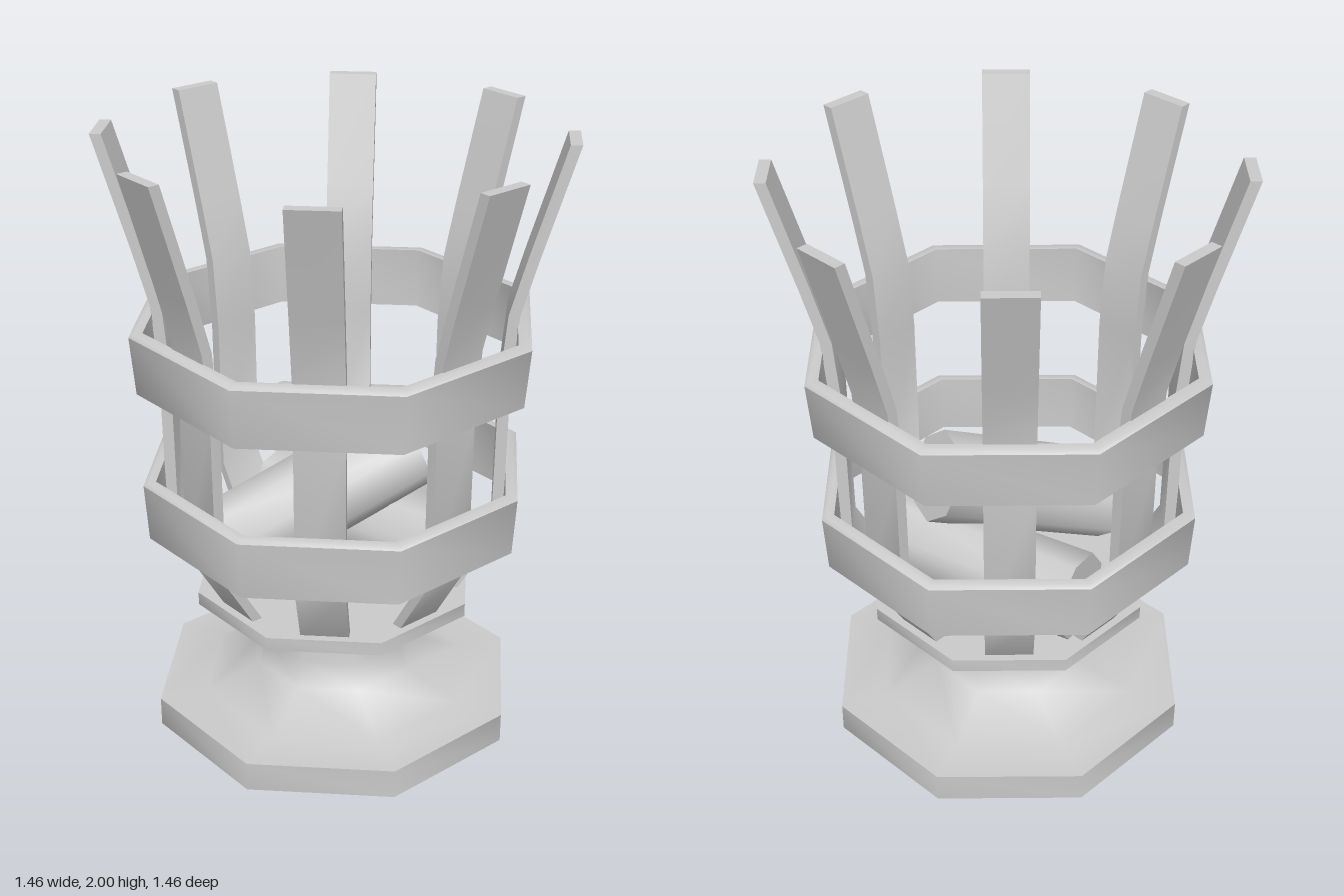
import * as THREE from 'three';
import { toCreasedNormals } from 'three/addons/utils/BufferGeometryUtils.js';

const material = new THREE.MeshStandardMaterial({ color: 0xcccccc, side: THREE.DoubleSide });
const CREASE = 0.9; // keeps the 45 degree octagon corners smooth, right angles sharp

function addMesh(parent, geometry, name) {
  const mesh = new THREE.Mesh(toCreasedNormals(geometry, CREASE), material);
  mesh.name = name;
  parent.add(mesh);
  return mesh;
}

// Eight-sided turned part; profile radii are measured to the flats
function octagonal(profile) {
  const k = 1 / Math.cos(Math.PI / 8);
  const points = profile.map(([r, y]) => new THREE.Vector2(r * k, y));
  return new THREE.LatheGeometry(points, 8, Math.PI / 8);
}

// Straight log between two end points
function addLog(parent, from, to, radius, name) {
  const a = new THREE.Vector3(...from), b = new THREE.Vector3(...to);
  const axis = b.clone().sub(a);
  const log = addMesh(parent, new THREE.CylinderGeometry(radius, radius, axis.length(), 8), name);
  log.position.copy(a).add(b).multiplyScalar(0.5);
  log.quaternion.setFromUnitVectors(new THREE.Vector3(0, 1, 0), axis.normalize());
}

export function createModel() {
  const group = new THREE.Group();
  group.name = 'brazier';

  // Hollow foot with a flared stem
  addMesh(group, octagonal([
    [0.57, 0], [0.57, 0.1], [0.42, 0.1], [0.25, 0.18], [0.212, 0.26], [0.212, 0.41],
  ]), 'pedestal');

  // Fire plate on top of the stem
  addMesh(group, octagonal([
    [0, 0.41], [0.212, 0.41], [0.437, 0.445], [0.437, 0.49], [0, 0.49],
  ]), 'firePlate');

  // Two hoops: bottom, top, lower radius, upper radius, inner radius
  for (const [y0, y1, r0, r1, inner, name] of [
    [0.72, 0.92, 0.577, 0.588, 0.55, 'lowerHoop'],
    [1.23, 1.43, 0.593, 0.608, 0.567, 'upperHoop'],
  ]) {
    addMesh(group, octagonal([
      [r0, y0], [r1, y1 - 0.01], [r1 - 0.013, y1], [inner, y1], [inner - 0.005, y0], [r0, y0],
    ]), name);
  }

  // Eight bent slats, swept from a side profile of [radius, height]
  const bend = [[0.393, 0.49], [0.53, 0.72], [0.535, 1.23], [0.555, 1.46], [0.605, 1.64], [0.712, 2]];
  const half = 0.018, width = 0.155;
  const outline = [
    ...bend.map(([r, y]) => new THREE.Vector2(r + half, y)),
    ...bend.slice().reverse().map(([r, y]) => new THREE.Vector2(r - half, y)),
  ];
  const slatGeometry = new THREE.ExtrudeGeometry(new THREE.Shape(outline), { depth: width, bevelEnabled: false });
  slatGeometry.translate(0, 0, -width / 2);
  const slats = new THREE.Group();
  slats.name = 'slats';
  for (let i = 0; i < 8; i++) {
    addMesh(slats, slatGeometry, 'slat').rotation.y = i * Math.PI / 4;
  }
  group.add(slats);

  // Firewood: one log lying on the plate, one leaning across it
  addLog(group, [0.05, 0.64, -0.375], [0.22, 0.64, 0.295], 0.148, 'lyingLog');
  addLog(group, [-0.38, 0.68, -0.1], [0.21, 0.95, 0.12], 0.152, 'leaningLog');

  return group;
}
